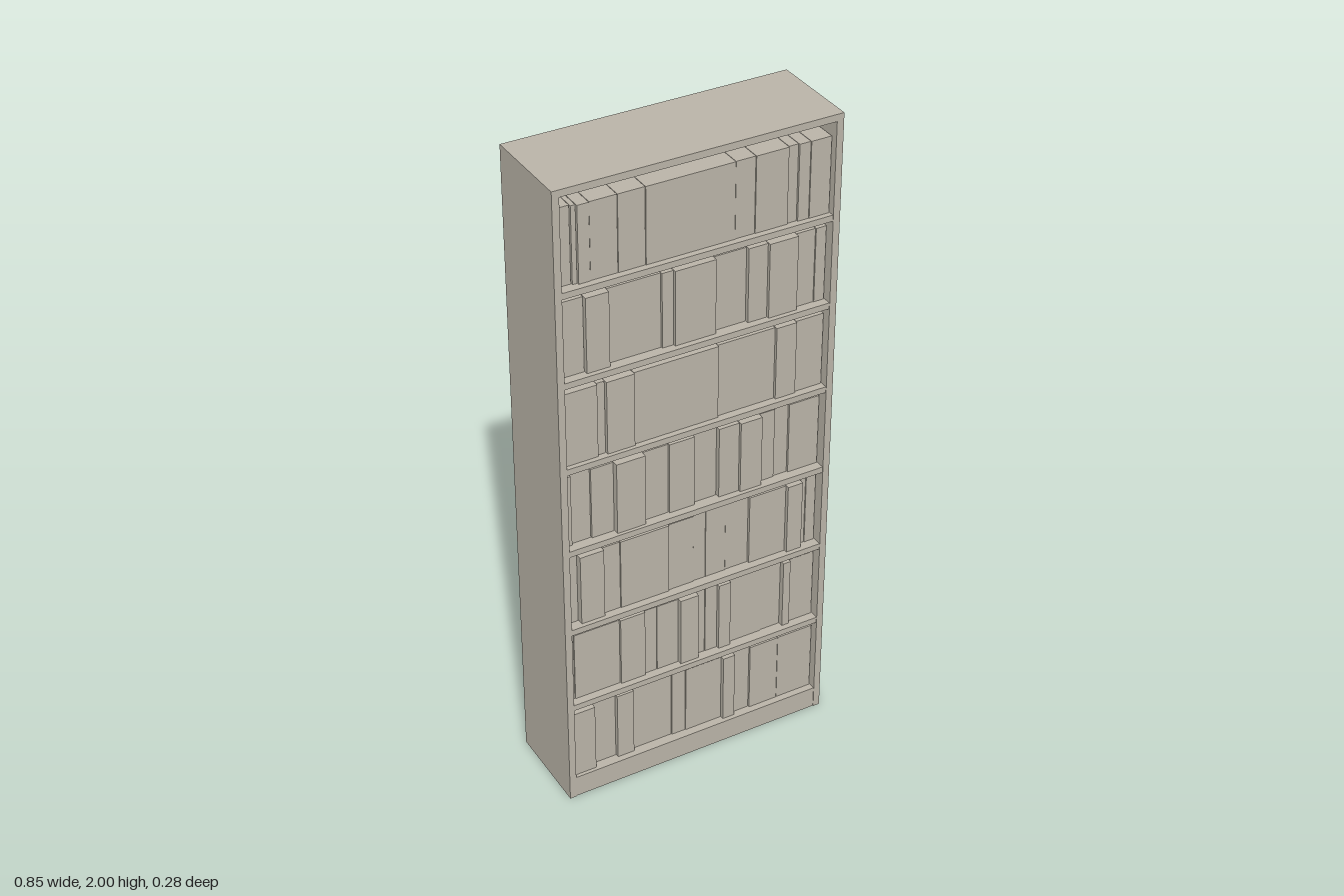
import * as THREE from 'three';

const W = 0.85, H = 2, D = 0.284, T = 0.021, BACK = 0.008;
const INNER = W / 2 - T;
const PITCH = 0.272, FIRST = 0.07, BOOK_H = 0.228;

// x positions where one book ends and the next begins, bottom row first
const rows = [
  [-0.33, -0.255, -0.2, -0.07, -0.025, 0.095, 0.135, 0.19, 0.285],
  [-0.385, -0.24, -0.16, -0.12, -0.05, 0.01, 0.04, 0.08, 0.12, 0.23, 0.295, 0.32],
  [-0.365, -0.29, -0.235, -0.08, 0, 0.04, 0.105, 0.18, 0.3, 0.35, 0.37],
  [-0.38, -0.32, -0.25, -0.16, -0.08, 0, 0.075, 0.14, 0.21, 0.26, 0.305],
  [-0.3, -0.275, -0.19, 0.07, 0.25, 0.315],
  [-0.33, -0.26, -0.1, -0.065, 0.06, 0.16, 0.22, 0.31, 0.37],
  [-0.36, -0.345, -0.31, -0.23, -0.15, 0.115, 0.175, 0.275, 0.305, 0.34],
];

// Small seeded generator for the book depths
function seeded(seed) {
  return () => (seed = (seed * 16807) % 2147483647) / 2147483647;
}

export function createModel() {
  const root = new THREE.Group();
  root.name = 'bookcase';
  const wood = new THREE.MeshStandardMaterial({ color: 0xbab4a8 });
  wood.name = 'warm grey';

  // Box given by its minimum and maximum corners
  function box(name, parent, x0, x1, y0, y1, z0, z1) {
    const mesh = new THREE.Mesh(new THREE.BoxGeometry(x1 - x0, y1 - y0, z1 - z0), wood);
    mesh.position.set((x0 + x1) / 2, (y0 + y1) / 2, (z0 + z1) / 2);
    mesh.name = name;
    parent.add(mesh);
  }

  // Carcass
  const front = D / 2, back = -D / 2;
  box('topBoard', root, -W / 2, W / 2, H - T, H, back, front);
  box('leftSide', root, INNER, W / 2, 0, H - T, back, front);
  box('rightSide', root, -W / 2, -INNER, 0, H - T, back, front);
  box('backPanel', root, -INNER, INNER, 0, H - T, back, back + BACK);
  box('plinth', root, -INNER, INNER, 0, FIRST - 0.019, front - 0.02, front - 0.002);

  // Shelves, each with its row of books
  const random = seeded(4127);
  rows.forEach((cuts, i) => {
    const y = FIRST + i * PITCH;
    box('shelf' + (i + 1), root, -INNER, INNER, y - 0.019, y, back + BACK, front - 0.002);

    const books = new THREE.Group();
    books.name = 'bookRow' + (i + 1);
    root.add(books);
    const edges = [-INNER + 0.001, ...cuts, INNER - 0.001];
    for (let k = 0; k < edges.length - 1; k++) {
      const face = front - 0.012 - random() * 0.024;
      box('book', books, edges[k], edges[k + 1] - 0.0015, y, y + BOOK_H, back + BACK, face);
    }
  });

  return root;
}
